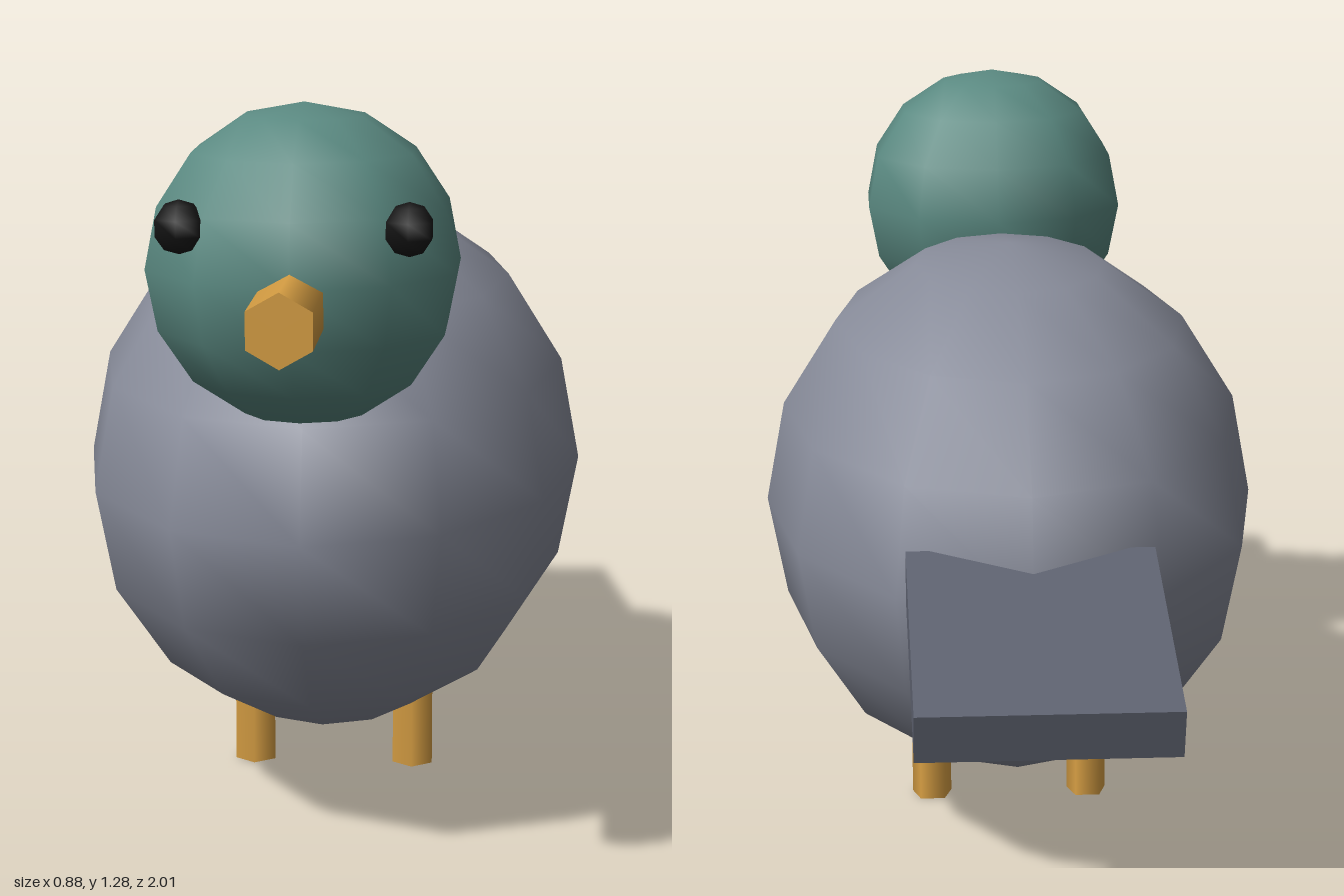
import * as THREE from 'three';

export function createModel() {
  const model = new THREE.Group();
  const paint = (color) => new THREE.MeshStandardMaterial({ color });
  const plumage = paint(0x888c9a);
  const headGreen = paint(0x5b8a82);
  const tailGrey = paint(0x5f6371);
  const orange = paint(0xd9a044);
  const black = paint(0x151515);

  function add(name, geometry, material, x, y, z) {
    const mesh = new THREE.Mesh(geometry, material);
    mesh.name = name;
    mesh.position.set(x, y, z);
    model.add(mesh);
    return mesh;
  }

  // Egg-shaped body
  add('body', new THREE.SphereGeometry(1, 12, 8), plumage, 0, 0.583, 0.018)
    .scale.set(0.44, 0.467, 0.673);

  // Round head, turned so an edge of the mesh points forward
  add('head', new THREE.SphereGeometry(0.256, 10, 8), headGreen, 0, 1.02, 0.592)
    .rotation.y = Math.PI / 2;

  // Six-sided beak pointing forward
  add('beak', new THREE.CylinderGeometry(0.057, 0.057, 0.25, 6), orange, 0, 0.987, 0.875)
    .rotation.x = Math.PI / 2;

  // Flat tail sloping down to the rear
  add('tail', new THREE.BoxGeometry(0.406, 0.083, 0.46), tailGrey, 0, 0.567, -0.777)
    .rotation.x = -0.25;

  // Eyes and legs, mirrored
  for (const [side, s] of [['left', 1], ['right', -1]]) {
    add(side + 'Eye', new THREE.SphereGeometry(0.042, 6, 5), black, s * 0.175, 1.103, 0.77)
      .rotation.y = Math.PI / 2;
    add(side + 'Leg', new THREE.CylinderGeometry(0.038, 0.038, 0.25, 5), orange, s * 0.145, 0.125, 0.016);
  }

  return model;
}
